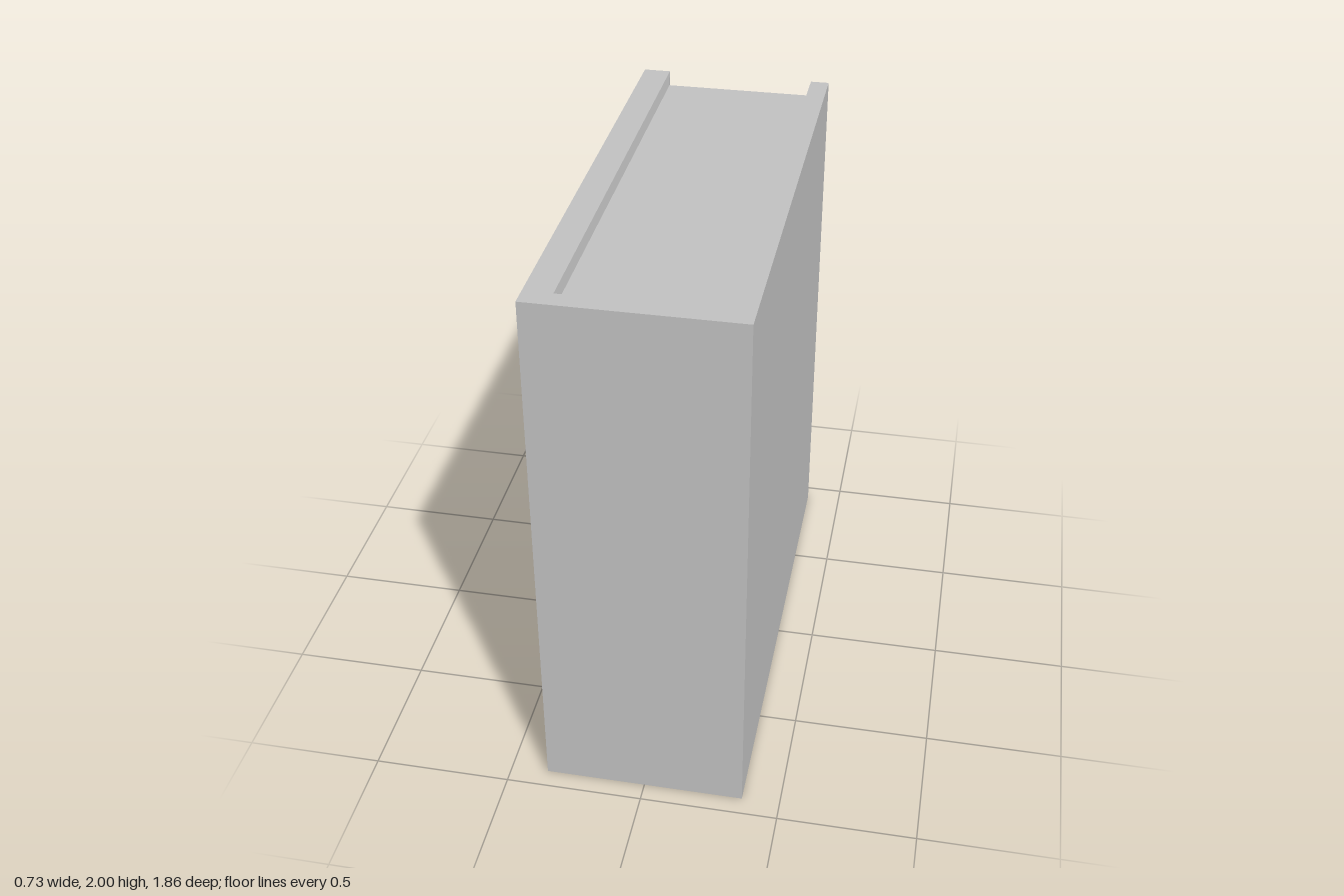
import * as THREE from 'three';

export function createModel() {
  const model = new THREE.Group();
  const grey = new THREE.MeshStandardMaterial({ color: 0xbfbfbf });
  grey.name = 'plain grey';

  const add = (name, geometry) => {
    const mesh = new THREE.Mesh(geometry, grey);
    mesh.name = name;
    model.add(mesh);
    return mesh;
  };

  // Opening left by the cover, and the page block set slightly inside it
  const rim = { left: -0.265, right: 0.293, bottom: 0, top: 2, back: -0.93, front: 0.86 };
  const block = { left: -0.257, right: 0.285, bottom: 0.037, top: 1.963, back: -0.88, front: 0.852 };

  // Cover: U-shaped section (two boards and a spine) raised to full height
  const section = [
    [-0.365, rim.back], [-0.365, 0.93], [0.362, 0.93], [0.362, rim.back],
    [rim.right, rim.back], [rim.right, rim.front], [rim.left, rim.front], [rim.left, rim.back],
  ];
  const shape = new THREE.Shape(section.map(([x, z]) => new THREE.Vector2(x, -z)));
  const cover = new THREE.ExtrudeGeometry(shape, { depth: 2, bevelEnabled: false });
  cover.rotateX(-Math.PI / 2);
  add('cover', cover);

  // Page block
  const pages = add('pages', new THREE.BoxGeometry(
    block.right - block.left, block.top - block.bottom, block.front - block.back));
  pages.position.set(
    (block.left + block.right) / 2, (block.top + block.bottom) / 2, (block.front + block.back) / 2);

  // Sloped reveal: joins the rim loop to the page-edge loop on top, back and bottom
  const loop = (b) => [
    [b.left, b.top, b.back], [b.left, b.top, b.front],
    [b.right, b.top, b.front], [b.right, b.top, b.back],
    [b.right, b.bottom, b.back], [b.right, b.bottom, b.front],
    [b.left, b.bottom, b.front], [b.left, b.bottom, b.back],
  ];
  const outer = loop(rim), inner = loop(block), positions = [];
  outer.forEach((p, i) => {
    const j = (i + 1) % outer.length;
    positions.push(...p, ...outer[j], ...inner[j], ...p, ...inner[j], ...inner[i]);
  });
  const reveal = new THREE.BufferGeometry();
  reveal.setAttribute('position', new THREE.Float32BufferAttribute(positions, 3));
  reveal.computeVertexNormals();
  add('coverReveal', reveal);

  return model;
}
